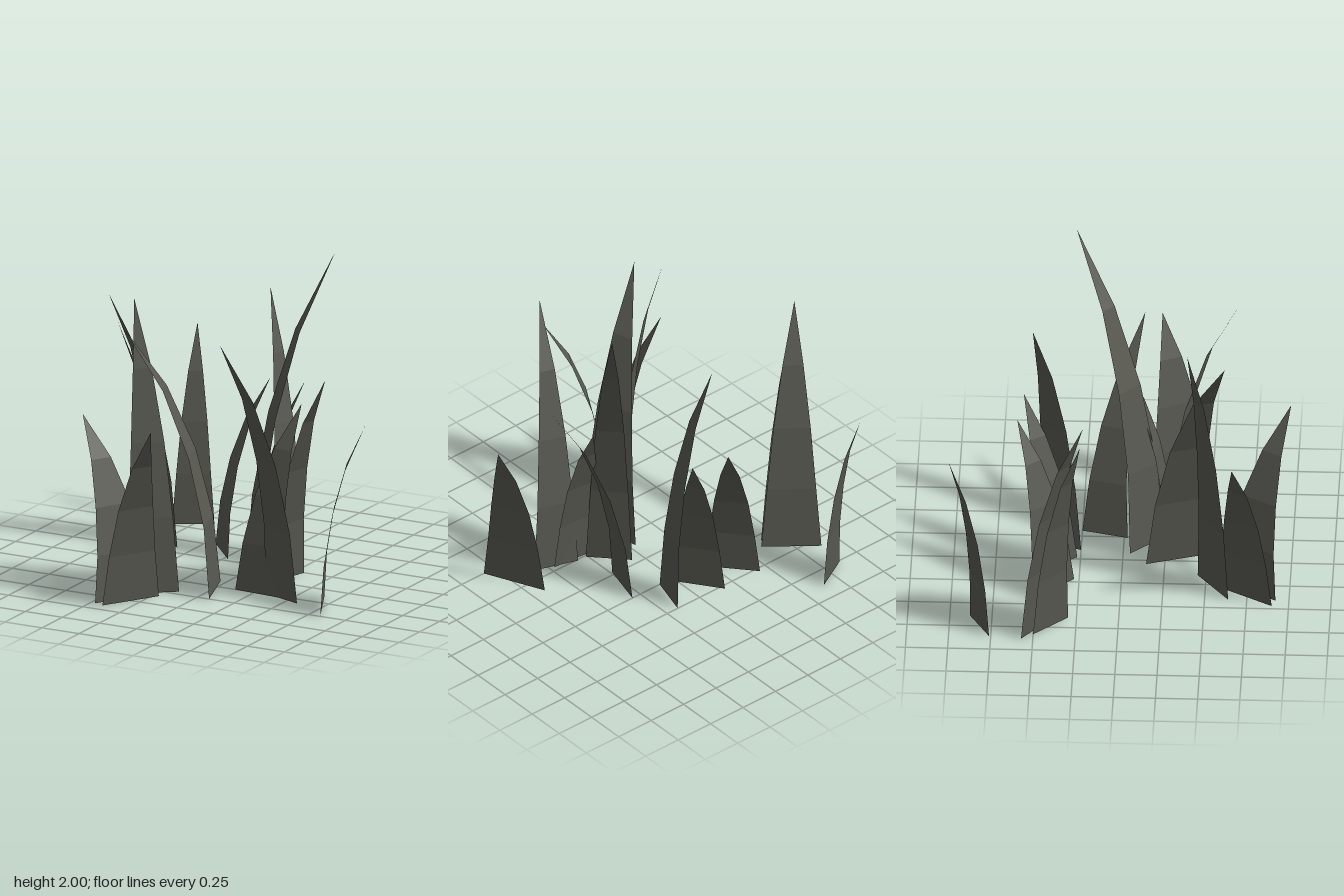
import * as THREE from 'three';

// Each blade: base corner 1 (x, z), base corner 2 (x, z), tip (x, y, z)
const BLADES = [
  [-0.88, -0.57, -0.60, -0.35, -0.98, 1.55, -0.20],
  [-0.83, -0.50, -0.64, -0.30, -0.93, 1.38, -0.22],
  [-0.86, -0.76, -0.64, -0.88, -0.82, 1.19, -1.00],
  [-0.44, -0.53, -0.22, -0.28, -0.12, 1.05, -0.62],
  [-0.17, -0.53, 0.02, -0.27, 0.13, 1.07, -0.59],
  [0.17, -0.50, 0.10, -0.25, -0.07, 1.64, -0.53],
  [-0.47, 0.90, -0.27, 0.57, -0.68, 1.08, 0.67],
  [-0.41, 0.64, -0.15, 0.45, -0.48, 1.75, 0.40],
  [-0.04, 0.14, 0.08, 0.50, -0.43, 1.63, 0.62],
  [-0.41, 0.92, -0.21, 0.59, -0.04, 1.14, 1.00],
  [0.07, 0.04, 0.26, 0.24, 0.50, 2.00, -0.29],
  [0.31, -0.25, 0.24, 0.02, 0.65, 1.33, 0.11],
  [0.12, 0.25, 0.47, 0.28, 0.42, 1.12, -0.02],
  [0.32, 0.24, 0.58, 0.33, 0.25, 1.64, 0.68],
  [0.66, 0.14, 0.83, 0.50, 0.97, 1.12, 0.20],
];

// Shape along a blade: height, lean towards the tip, remaining width
const STEPS = [
  [0, 0, 1],
  [0.26, 0.07, 0.82],
  [0.52, 0.25, 0.62],
  [0.77, 0.55, 0.35],
  [1, 1, 0],
];

// Tapered sheet that bends from its base edge to its tip
function bladeGeometry([x1, z1, x2, z2, tx, ty, tz]) {
  const cx = (x1 + x2) / 2, cz = (z1 + z2) / 2;
  const rows = STEPS.map(([h, lean, width]) => {
    const x = cx + (tx - cx) * lean, z = cz + (tz - cz) * lean;
    return [
      [x + (x1 - cx) * width, ty * h, z + (z1 - cz) * width],
      [x + (x2 - cx) * width, ty * h, z + (z2 - cz) * width],
    ];
  });
  const points = [];
  for (let i = 0; i < rows.length - 1; i++) {
    const [a, b] = rows[i], [c, d] = rows[i + 1];
    points.push(...a, ...b, ...d);
    if (i < rows.length - 2) points.push(...a, ...d, ...c);
  }
  const geometry = new THREE.BufferGeometry();
  geometry.setAttribute('position', new THREE.Float32BufferAttribute(points, 3));
  geometry.computeVertexNormals(); // unshared corners give flat facets
  return geometry;
}

export function createModel() {
  const group = new THREE.Group();
  group.name = 'grassTuft';
  const material = new THREE.MeshStandardMaterial({ color: 0x595952, side: THREE.DoubleSide });
  material.name = 'darkGreyGrass';

  BLADES.forEach((blade, i) => {
    const mesh = new THREE.Mesh(bladeGeometry(blade), material);
    mesh.name = `grassBlade${i + 1}`;
    group.add(mesh);
  });
  return group;
}
